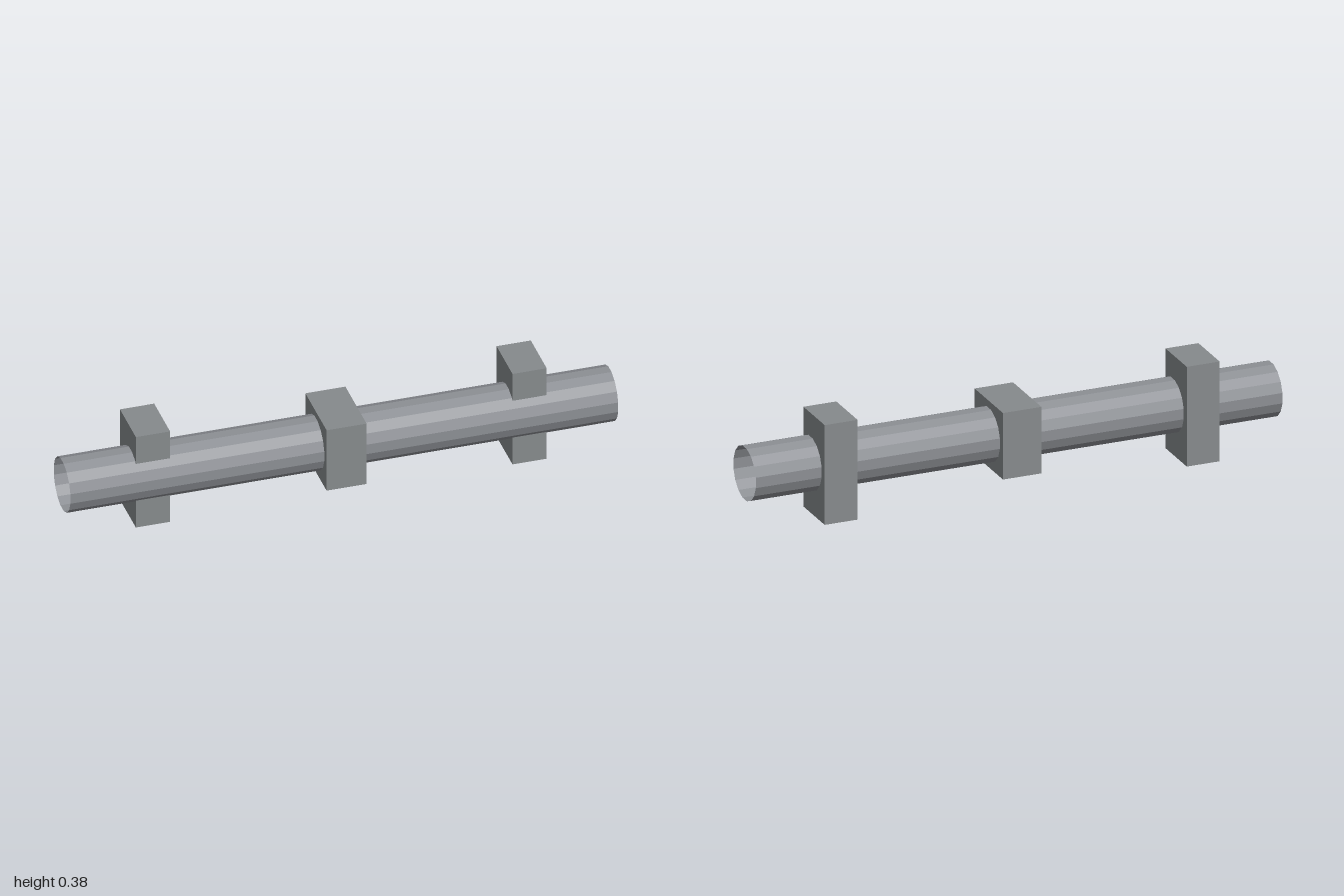
import * as THREE from 'three';

export function createModel() {
  const model = new THREE.Group();
  const pipeMetal = new THREE.MeshStandardMaterial({ color: 0x8c8f94, flatShading: true, side: THREE.DoubleSide });
  pipeMetal.name = 'pipe grey';
  const blockMetal = new THREE.MeshStandardMaterial({ color: 0x868a8c, flatShading: true });
  blockMetal.name = 'bracket grey';

  // Open sixteen-sided pipe along x, with a flat facet facing front and top
  const sides = 16;
  const pipeGeometry = new THREE.CylinderGeometry(0.1, 0.1, 2, sides, 1, true);
  pipeGeometry.rotateZ(Math.PI / 2).rotateX(Math.PI / sides);
  const pipe = new THREE.Mesh(pipeGeometry, pipeMetal);
  pipe.name = 'pipe';
  pipe.position.y = 0.1875;
  model.add(pipe);

  // Blocks the pipe passes through
  const addBlock = (name, size, x, z) => {
    const block = new THREE.Mesh(new THREE.BoxGeometry(...size), blockMetal);
    block.name = name;
    block.position.set(x, 0.1875, z);
    model.add(block);
  };
  addBlock('centreCollar', [0.146, 0.25, 0.25], 0, 0);
  addBlock('leftBracket', [0.125, 0.375, 0.1875], 0.6875, -0.03125);
  addBlock('rightBracket', [0.125, 0.375, 0.1875], -0.6875, -0.03125);

  return model;
}
